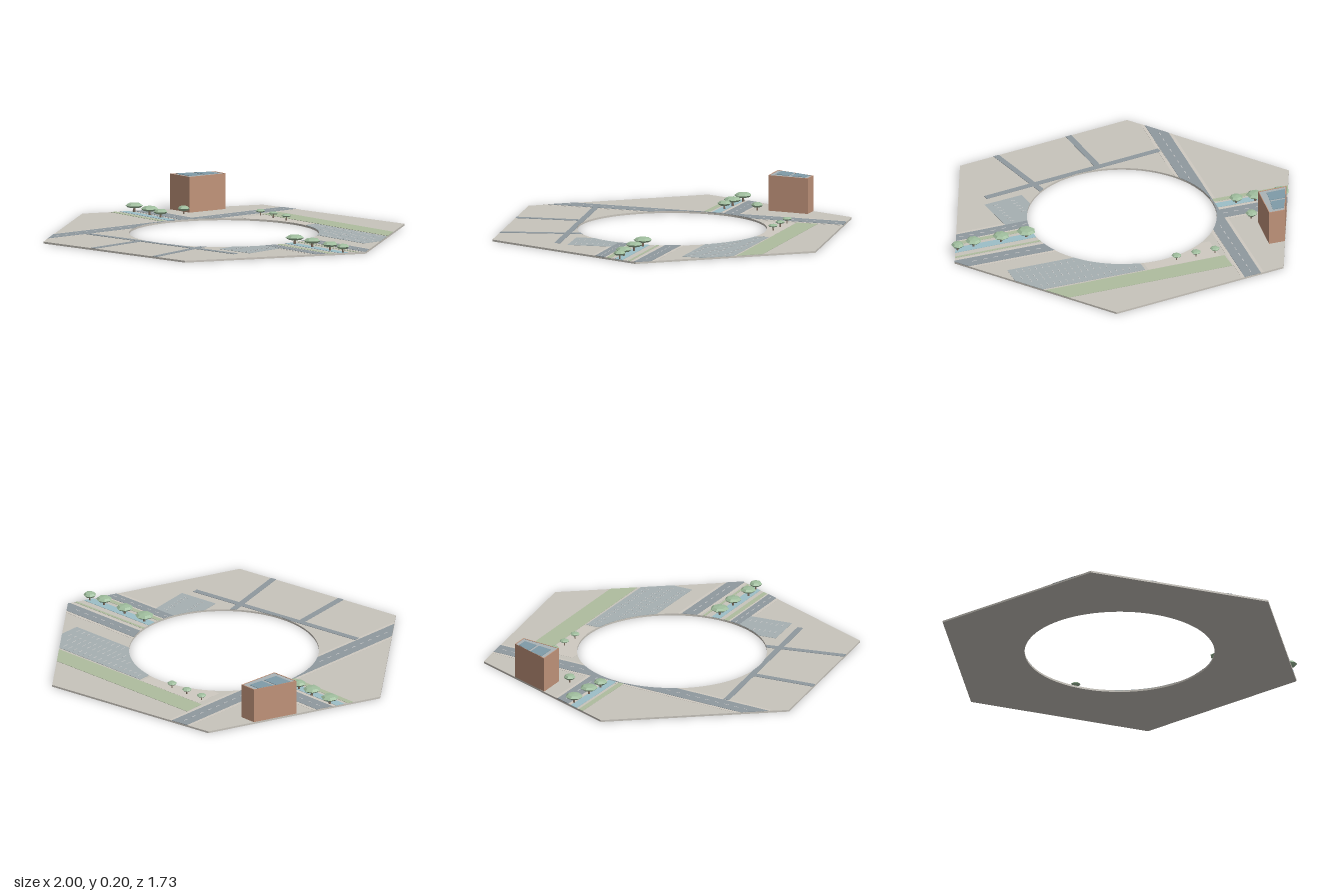
import * as THREE from 'three';

const APOTHEM = Math.sqrt(3) / 2, HOLE = 0.5, GROUND = 0.01;
const mat = (color, extra = {}) => new THREE.MeshStandardMaterial({ color, ...extra });
const M = {
  ground: mat(0xc8c4bc), paving: mat(0xcfcac1), road: mat(0x8f999f), parking: mat(0xa6b0b2),
  grass: mat(0xafbd9f), water: mat(0x9cbfc8), line: mat(0xe4e6e4), brick: mat(0xc0937a),
  roof: mat(0xaab3b6), glass: mat(0x7f9ba8),
  crown: mat(0x9fbd9d, { flatShading: true }), trunk: mat(0x7b6a5c, { flatShading: true }),
};

// Flat piece with plan outline (x, z), from y = bottom to y = top
function plate(shape, bottom, top, material, name) {
  const g = new THREE.ExtrudeGeometry(shape, { depth: top - bottom, bevelEnabled: false, curveSegments: 48 });
  g.rotateX(Math.PI / 2).translate(0, top, 0);
  const mesh = new THREE.Mesh(g, material);
  mesh.name = name;
  return mesh;
}
const outline = (pts) => new THREE.Shape(pts.map(([x, z]) => new THREE.Vector2(x, z)));

// Parameter range of the line p + t d that lies inside the hexagon
function hexRange(p, d, t0, t1) {
  for (let k = 0; k < 6; k++) {
    const a = Math.PI / 6 + k * Math.PI / 3, c = Math.cos(a), s = Math.sin(a);
    const slope = c * d.x + s * d.y, room = APOTHEM - c * p.x - s * p.y;
    if (Math.abs(slope) < 1e-9) { if (room < 0) return [0, -1]; }
    else if (slope > 0) t1 = Math.min(t1, room / slope);
    else t0 = Math.max(t0, room / slope);
  }
  return [t0, t1];
}

// Straight strip from a to b, trimmed by the hexagon edge and the round hole
function strip(group, name, a, b, width, top, material) {
  const A = new THREE.Vector2(...a), d = new THREE.Vector2(...b).sub(A);
  const len = d.length(), n = 24;
  d.normalize();
  const sides = [{ lo: [], hi: [] }, { lo: [], hi: [] }];
  for (let i = 0; i <= n; i++) {
    const v = width * (i / n - 0.5);
    const p = new THREE.Vector2(A.x - d.y * v, A.y + d.x * v);
    const [t0, t1] = hexRange(p, d, 0, len);
    const foot = -p.dot(d), off = p.x * d.y - p.y * d.x;
    const half = Math.sqrt(Math.max(0, HOLE * HOLE - off * off));
    [[t0, Math.min(t1, foot - half)], [Math.max(t0, foot + half), t1]].forEach(([s, e], k) => {
      if (e - s < 1e-4) return;
      sides[k].lo.push([p.x + d.x * s, p.y + d.y * s]);
      sides[k].hi.unshift([p.x + d.x * e, p.y + d.y * e]);
    });
  }
  for (const { lo, hi } of sides)
    if (lo.length > 1) group.add(plate(outline([...lo, ...hi]), GROUND - 0.002, top, material, name));
}

// Row of painted marks along a to b
function dashes(group, name, a, b, step, length, width) {
  const A = new THREE.Vector2(...a), d = new THREE.Vector2(...b).sub(A), len = d.length();
  d.normalize();
  const geo = new THREE.BoxGeometry(length, 0.001, width);
  for (let t = step / 2; t < len; t += step) {
    const p = A.clone().addScaledVector(d, t);
    const [lo, hi] = hexRange(p, d, -length, length);
    if (p.length() < HOLE + 0.015 || hi - lo < 2 * length - 1e-6) continue;
    const m = new THREE.Mesh(geo, M.line);
    m.name = name;
    m.position.set(p.x, 0.0122, p.y);
    m.rotation.y = -Math.atan2(d.y, d.x);
    group.add(m);
  }
}

function tree(x, z, r, top) {
  const g = new THREE.Group(), h = r > 0.03 ? 0.015 : 0.009;
  g.name = 'tree';
  const crown = new THREE.Mesh(new THREE.SphereGeometry(1, 7, 4), M.crown);
  crown.name = 'treeCrown';
  crown.scale.set(r, h, r);
  crown.position.y = top - h;
  const trunkTop = top - h;
  const trunk = new THREE.Mesh(new THREE.CylinderGeometry(r * 0.1, r * 0.14, trunkTop - GROUND, 6), M.trunk);
  trunk.name = 'treeTrunk';
  trunk.position.y = (trunkTop + GROUND) / 2;
  g.add(crown, trunk);
  g.position.set(x, 0, z);
  return g;
}

function building() {
  const g = new THREE.Group();
  g.name = 'building';
  const plan = [[-0.632, -0.635], [-0.545, -0.622], [-0.6, -0.4], [-0.757, -0.42]];
  g.add(plate(outline(plan), GROUND - 0.002, 0.194, M.brick, 'brickWalls'));
  // Parapet ring around a sunken roof
  const cx = -0.634, cz = -0.52;
  const ring = outline(plan);
  ring.holes.push(new THREE.Path(plan.map(([x, z]) =>
    new THREE.Vector2(cx + (x - cx) * 0.94, cz + (z - cz) * 0.96))));
  g.add(plate(ring, 0.194, 0.2, M.brick, 'parapet'));
  g.add(plate(outline(plan.map(([x, z]) => [cx + (x - cx) * 0.94, cz + (z - cz) * 0.96])),
    0.19, 0.198, M.roof, 'roofDeck'));
  // Two glazed roof panels
  const panels = [
    [[-0.64, -0.61], [-0.58, -0.6], [-0.605, -0.523], [-0.69, -0.535]],
    [[-0.697, -0.522], [-0.61, -0.508], [-0.633, -0.432], [-0.735, -0.445]],
  ];
  for (const p of panels) g.add(plate(outline(p), 0.196, 0.2005, M.glass, 'roofPanel'));
  return g;
}

export function createModel() {
  const model = new THREE.Group();
  model.name = 'cityBlock';

  // Hexagonal ground with a round opening
  const hex = outline(Array.from({ length: 6 }, (_, k) =>
    [Math.cos(k * Math.PI / 3), Math.sin(k * Math.PI / 3)]));
  hex.holes.push(new THREE.Path().absarc(0, 0, HOLE, 0, Math.PI * 2, true));
  model.add(plate(hex, 0, GROUND, M.ground, 'ground'));

  // Roads: start, end, width, has pavement and lane marks
  const roads = [
    [[-0.297, -0.97], [-0.64, 0.99], 0.095, true],
    [[-1, -0.304], [-0.43, -0.221], 0.085, true],
    [[0.4, -0.112], [1.1, -0.016], 0.08, true],
    [[0.4, 0.157], [1, 0.231], 0.06, true],
    [[-0.5, 0.51], [0.54, 0.51], 0.032, false],
    [[-0.135, 0.51], [-0.15, 0.9], 0.034, false],
    [[0.24, 0.4], [0.287, 0.9], 0.032, false],
  ];
  for (const [a, b, w, major] of roads) {
    strip(model, 'road', a, b, w, 0.012, M.road);
    if (!major) continue;
    strip(model, 'pavement', a, b, w + 0.035, 0.0108, M.paving);
    dashes(model, 'laneMark', a, b, 0.06, 0.026, 0.004);
  }

  // Canals and grass banks
  strip(model, 'canal', [-1, -0.218], [-0.48, -0.137], 0.045, 0.0115, M.water);
  strip(model, 'grassBank', [-1, -0.162], [-0.5, -0.085], 0.03, 0.0113, M.grass);
  strip(model, 'canal', [0.4, 0.035], [1.05, 0.118], 0.05, 0.0115, M.water);
  strip(model, 'grassBank', [0.4, -0.033], [1.05, 0.05], 0.014, 0.0113, M.grass);
  strip(model, 'grassBank', [0.4, 0.1], [1.05, 0.183], 0.028, 0.0113, M.grass);
  strip(model, 'lawn', [-0.275, -0.672], [0.8, -0.535], 0.115, 0.0115, M.grass);
  strip(model, 'path', [-0.27, -0.53], [0.13, -0.478], 0.16, 0.0106, M.paving);

  // Car parks with bay marks
  strip(model, 'carPark', [0.14, -0.425], [0.815, -0.333], 0.25, 0.0114, M.parking);
  for (const v of [-0.085, -0.02, 0.025, 0.09])
    for (let t = 0.04; t < 0.67; t += 0.035) {
      const x = 0.14 + t - 0.135 * v, z = -0.425 + t * 0.136 + v;
      dashes(model, 'parkingMark', [x, z - 0.015], [x - 0.004, z + 0.015], 0.031, 0.028, 0.003);
    }
  strip(model, 'carPark', [0.475, 0.19], [0.47, 0.445], 0.22, 0.0114, M.parking);
  for (const x of [0.43, 0.53])
    for (let z = 0.23; z < 0.44; z += 0.03)
      dashes(model, 'parkingMark', [x - 0.015, z], [x + 0.015, z + 0.004], 0.031, 0.025, 0.003);

  model.add(building());

  // Trees: x, z, crown radius, top height
  const trees = [
    [-0.83, -0.22, 0.047, 0.061], [-0.695, -0.19, 0.047, 0.061], [-0.595, -0.165, 0.037, 0.058],
    [-0.59, -0.342, 0.032, 0.056], [-0.25, -0.568, 0.026, 0.046], [-0.145, -0.552, 0.026, 0.046],
    [-0.038, -0.535, 0.026, 0.046], [0.545, 0.05, 0.05, 0.061], [0.685, 0.07, 0.045, 0.061],
    [0.835, 0.096, 0.042, 0.06], [0.929, 0.1, 0.034, 0.058],
  ];
  for (const t of trees) model.add(tree(...t));
  return model;
}
